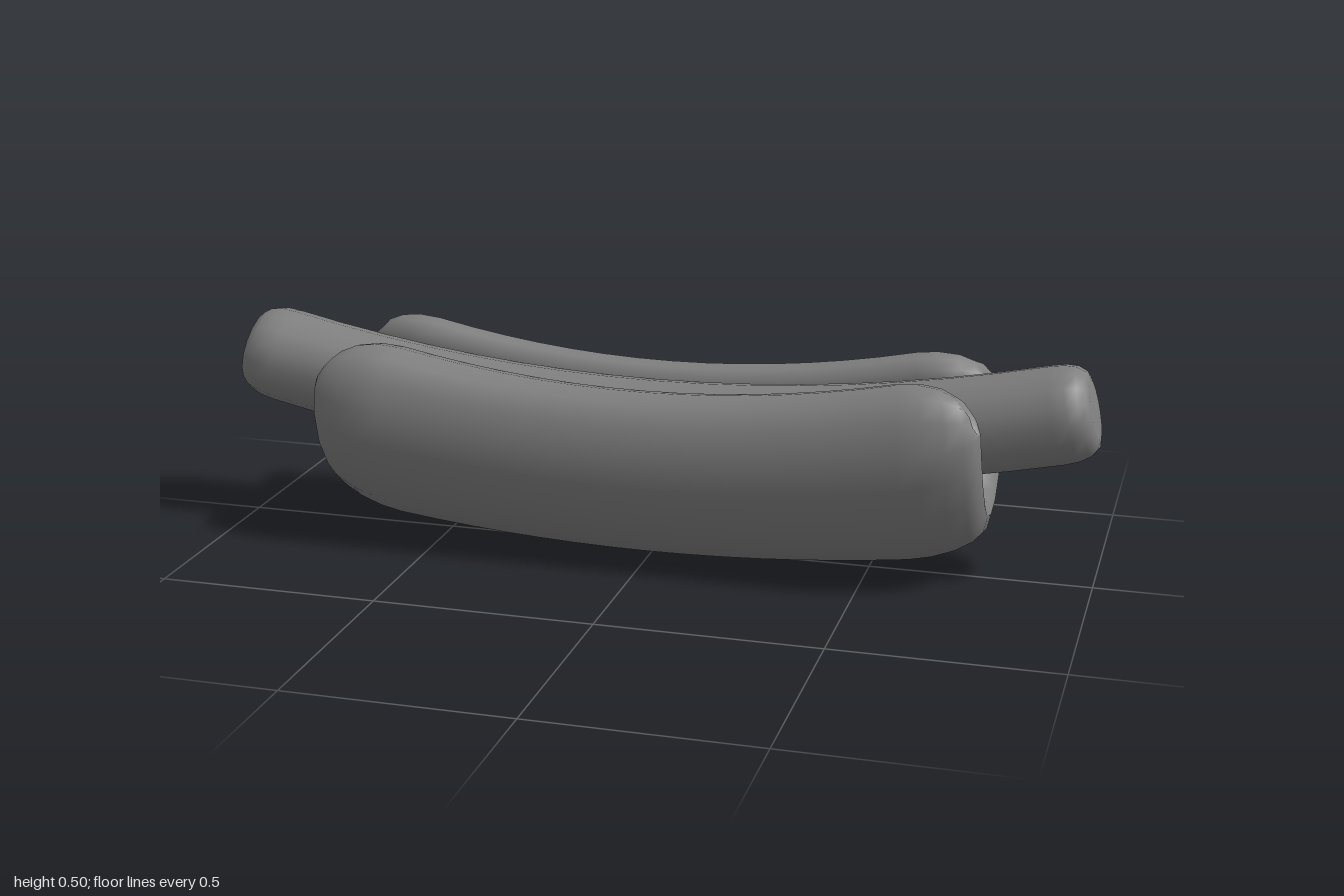
import * as THREE from 'three';

const material = new THREE.MeshStandardMaterial({ color: 0x808080 });

// Skins closed rings of [x, y, z] points, ordered along +x, with smooth normals
function loft(rings) {
  const n = rings[0].length, index = [];
  for (let i = 0; i < rings.length - 1; i++) {
    for (let j = 0; j < n; j++) {
      const a = i * n + j, b = i * n + (j + 1) % n;
      index.push(a, b, a + n, b, b + n, a + n);
    }
  }
  const geometry = new THREE.BufferGeometry();
  geometry.setAttribute('position', new THREE.Float32BufferAttribute(rings.flat(2), 3));
  geometry.setIndex(index);
  geometry.computeVertexNormals();
  return geometry;
}

// Mirrors a list of [x, size] end stations and adds even steps between
function stations(end, steps) {
  const x0 = end[0][0], middle = [];
  for (let i = 1; i < steps; i++) middle.push([-x0 + 2 * x0 * i / steps, 1]);
  return [...end.map(([x, s]) => [-x, s]).reverse(), ...middle, ...end];
}

// Sausage: round sections standing square to an upward-bending axis
function sausageGeometry() {
  const end = [[0.905, 1], [0.937, 0.98], [0.962, 0.91], [0.979, 0.78], [0.984, 0.6], [0.986, 0.001]];
  return loft(stations(end, 16).map(([x, s]) => {
    const tilt = Math.atan(0.25 * x), r = 0.11 * s;
    return Array.from({ length: 16 }, (_, j) => {
      const a = j / 16 * Math.PI * 2, h = r * Math.cos(a);
      return [x - h * Math.sin(tilt), 0.29 + 0.126 * x * x + h * Math.cos(tilt), r * Math.sin(a)];
    });
  }));
}

// Bun: U-shaped section, drawn in towards its own centre line at both ends
function bunGeometry() {
  // Half section from the keel up to the lip: outer z, y and inner z, y
  const half = [
    [0, 0.002, 0, 0.16],
    [0.07, 0.014, 0.045, 0.172],
    [0.13, 0.057, 0.075, 0.2],
    [0.187, 0.13, 0.095, 0.24],
    [0.219, 0.21, 0.102, 0.28],
    [0.227, 0.275, 0.092, 0.315],
    [0.211, 0.35, 0.075, 0.35],
    [0.176, 0.394, 0.078, 0.385],
    [0.133, 0.411, 0.1, 0.405],
  ];
  // Centre line of the section; the lip shrinks towards a point below it
  const core = half.map((_, i) => {
    const [oz, oy, iz, iy] = half[Math.min(i, 5)];
    return [(oz + iz) / 2, (oy + iy) / 2];
  });
  const end = [[0.6, 1], [0.65, 0.95], [0.7, 0.82], [0.74, 0.62], [0.762, 0.38], [0.77, 0.001]];
  return loft(stations(end, 14).map(([x, s]) => {
    const point = (i, side, k) => {
      const [cz, cy] = core[i];
      const z = cz + (half[i][k] - cz) * s, y = cy + (half[i][k + 1] - cy) * s;
      const setBack = 1 - 0.05 * (i / 8) ** 3;
      return [x * setBack, y + x * x * (0.11 + 0.15 * y), side * z * (1 + 0.1 * x * x)];
    };
    const up = half.map((_, i) => i), down = [...up].reverse();
    return [
      ...down.map(i => point(i, 1, 0)),
      ...up.slice(1).map(i => point(i, -1, 0)),
      ...down.map(i => point(i, -1, 2)),
      ...up.slice(1).map(i => point(i, 1, 2)),
    ];
  }));
}

export function createModel() {
  const group = new THREE.Group();
  group.name = 'hotDog';
  const parts = { bun: bunGeometry(), sausage: sausageGeometry() };
  for (const [name, geometry] of Object.entries(parts)) {
    const mesh = new THREE.Mesh(geometry, material);
    mesh.name = name;
    group.add(mesh);
  }
  return group;
}
